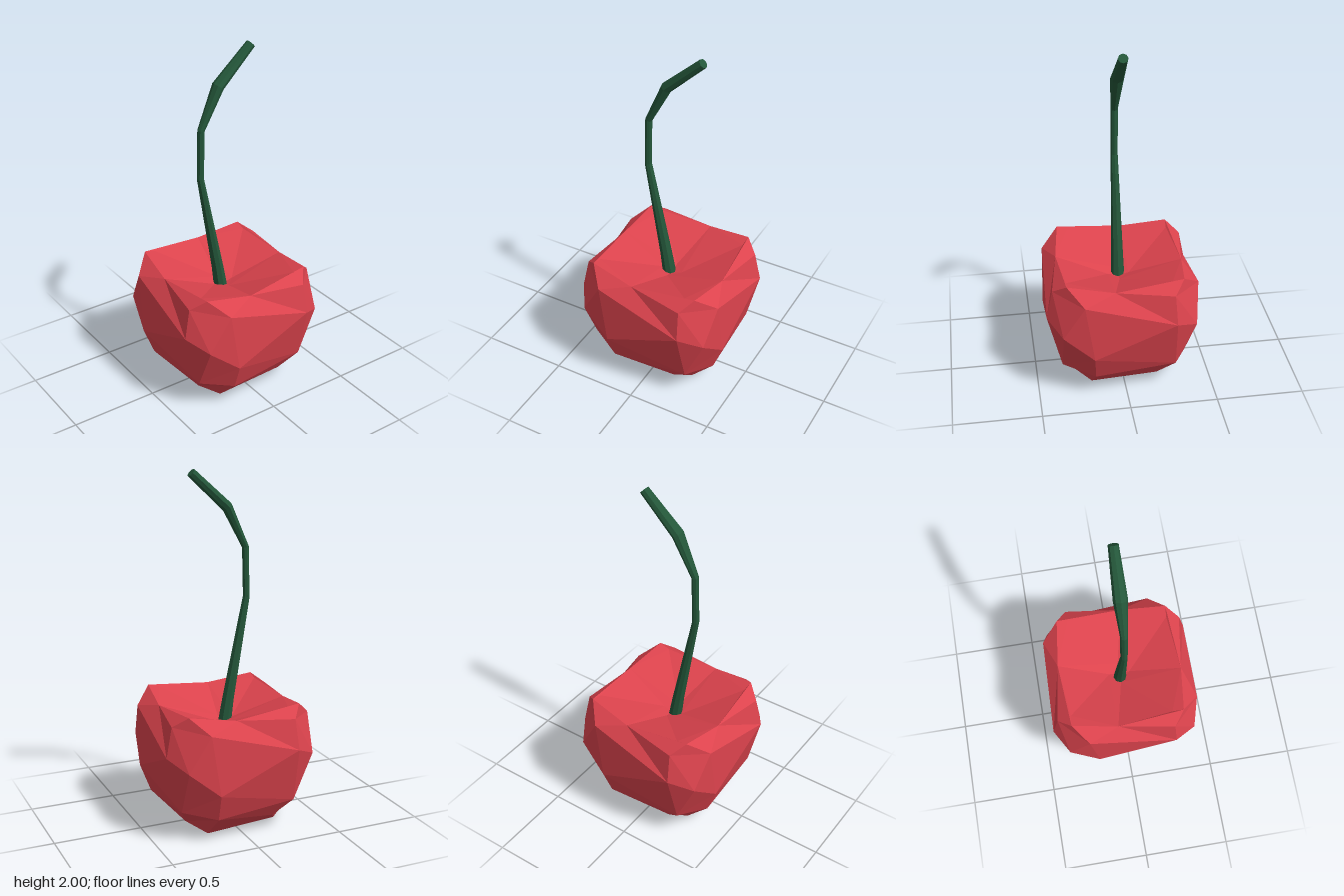
import * as THREE from 'three';

// Corner points of one quarter of the fruit; the other three are quarter turns of it
const QUARTER = {
  P: [0, 0.585, 0.06], // bottom of the dimple
  A: [-0.065, 0.69, 0.355], // low point of the rim
  N: [0.255, 0.715, 0.325], // rim, inner
  B: [0.32, 0.73, 0.33], // rim, peak
  C: [0.26, 0.67, 0.405], // shoulder
  D: [0.27, 0.5, 0.44],
  E: [-0.24, 0.645, 0.42],
  F: [-0.19, 0.3, 0.43], // waist
  G: [-0.36, 0.44, 0.395],
  H: [-0.18, 0.14, 0.37], // lower side
  I: [0.28, 0.18, 0.36],
  J: [0.18, 0.08, 0.3],
  K: [0.24, 0.01, 0.19], // foot
  O: [0, 0.57, 0], // centre of the dimple
  U: [0, 0, 0], // centre of the underside
};

// Facets of one quarter; + means the next quarter, - the previous one
const FACETS = [
  'O P P+', 'P A+ P+', 'P A N', 'P N A+', 'N B A+', 'A B N', 'A C B', 'B E+ A+',
  'A E D', 'A D C', 'B C E+', 'C D G+', 'C G+ E+',
  'E F D', 'E G F', 'D F I', 'D I G+', 'G+ I F+', 'I H+ F+', 'F H I',
  'H J I', 'I J H+', 'H K- J', 'K- K J', 'J K H+', 'K- U K',
];

function mesh(positions, color, name) {
  const geometry = new THREE.BufferGeometry();
  geometry.setAttribute('position', new THREE.Float32BufferAttribute(positions, 3));
  geometry.computeVertexNormals();
  const material = new THREE.MeshStandardMaterial({ color, flatShading: true });
  const m = new THREE.Mesh(geometry, material);
  m.name = name;
  return m;
}

function createFruit() {
  const up = new THREE.Vector3(0, 1, 0);
  const positions = [];
  for (let q = 0; q < 4; q++) {
    for (const facet of FACETS) {
      for (const key of facet.split(' ')) {
        const step = key[1] === '+' ? 1 : key[1] === '-' ? -1 : 0;
        const v = new THREE.Vector3(...QUARTER[key[0]]);
        v.applyAxisAngle(up, (q + step) * Math.PI / 2);
        positions.push(v.x, v.y, v.z);
      }
    }
  }
  return mesh(positions, 0xdc434d, 'fruit');
}

function createStem() {
  // x, y, radius in the bending plane, radius along z
  const path = [
    [-0.015, 0.54, 0.04, 0.04],
    [-0.04, 0.7, 0.034, 0.034],
    [-0.15, 1.28, 0.02, 0.02],
    [-0.143, 1.56, 0.02, 0.02],
    [-0.033, 1.785, 0.031, 0.038],
    [0.177, 1.978, 0.026, 0.027],
  ];
  const sides = 8;
  const rings = path.map(([x, y, r, rz], i) => {
    const a = path[Math.max(i - 1, 0)];
    const b = path[Math.min(i + 1, path.length - 1)];
    const t = new THREE.Vector2(b[0] - a[0], b[1] - a[1]).normalize();
    return Array.from({ length: sides }, (_, j) => {
      const angle = (j / sides) * Math.PI * 2;
      const c = Math.cos(angle) * r;
      return [x + t.y * c, y - t.x * c, -Math.sin(angle) * rz];
    });
  });
  const positions = [];
  const tri = (a, b, c) => positions.push(...a, ...b, ...c);
  const last = path.length - 1;
  for (let j = 0; j < sides; j++) {
    const k = (j + 1) % sides;
    for (let i = 0; i < last; i++) {
      tri(rings[i][j], rings[i][k], rings[i + 1][k]);
      tri(rings[i][j], rings[i + 1][k], rings[i + 1][j]);
    }
    // end caps
    tri([path[last][0], path[last][1], 0], rings[last][j], rings[last][k]);
    tri([path[0][0], path[0][1], 0], rings[0][k], rings[0][j]);
  }
  return mesh(positions, 0x24573a, 'stem');
}

export function createModel() {
  const group = new THREE.Group();
  group.name = 'cherry';
  group.add(createFruit(), createStem());
  return group;
}
